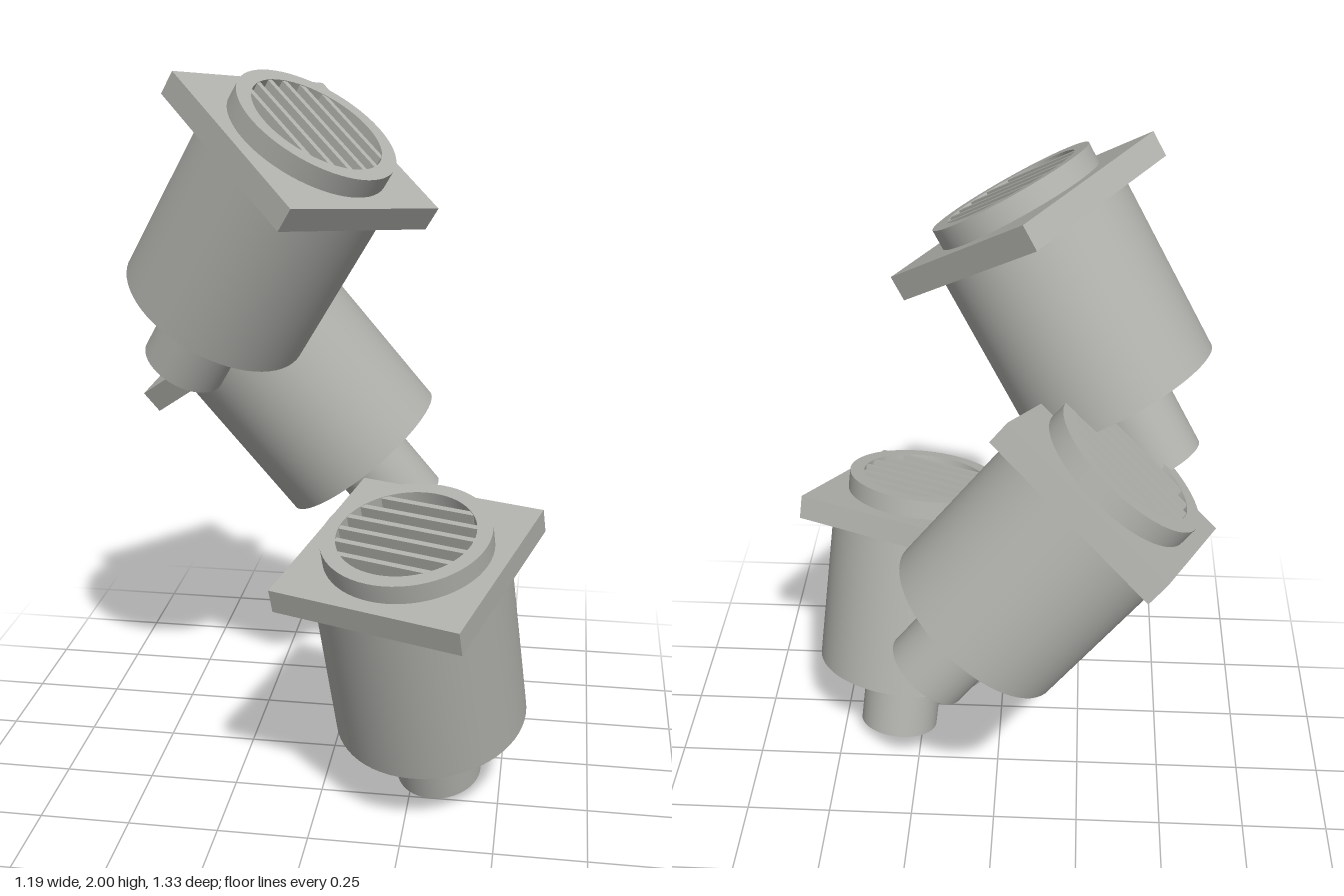
import * as THREE from 'three';
import { toCreasedNormals } from 'three/addons/utils/BufferGeometryUtils.js';

const paleGrey = new THREE.MeshStandardMaterial({ color: 0xb0b0ac });
const darkGrey = new THREE.MeshStandardMaterial({ color: 0x313131 });

// Heights along the drain axis, and radii
const BODY_Y = 0.222, PLATE_Y = 0.715, RING_Y = 0.785, TOP_Y = 0.84;
const PIPE_R = 0.12, BORE_R = 0.107, BODY_R = 0.268, RING_R = 0.229, GRATE_R = 0.187;
const PLATE_SIZE = 0.545;

function lathe(points) {
  const profile = points.map(([r, y]) => new THREE.Vector2(r, y));
  return toCreasedNormals(new THREE.LatheGeometry(profile, 64), 0.6);
}

function addMesh(group, name, geometry, material, y = 0) {
  const mesh = new THREE.Mesh(geometry, material);
  mesh.name = name;
  mesh.position.y = y;
  group.add(mesh);
  return mesh;
}

// One floor drain standing on its outlet, grate bars along x
function createDrain() {
  const drain = new THREE.Group();

  // Hollow outlet pipe
  addMesh(drain, 'outletPipe', lathe([
    [0, BODY_Y + 0.02], [BORE_R, BODY_Y + 0.02], [BORE_R, 0],
    [PIPE_R, 0], [PIPE_R, BODY_Y],
  ]), paleGrey);

  // Cylindrical trap body
  addMesh(drain, 'trapBody', lathe([
    [PIPE_R, BODY_Y], [BODY_R, BODY_Y], [BODY_R, PLATE_Y],
  ]), paleGrey);

  // Square floor plate
  const thickness = RING_Y - PLATE_Y;
  addMesh(drain, 'floorPlate', new THREE.BoxGeometry(PLATE_SIZE, thickness, PLATE_SIZE),
    paleGrey, PLATE_Y + thickness / 2);

  // Raised ring around the grate
  addMesh(drain, 'grateRing', lathe([
    [RING_R, RING_Y], [RING_R, TOP_Y], [GRATE_R, TOP_Y], [GRATE_R, RING_Y],
  ]), paleGrey);

  // Dark opening beneath the bars
  addMesh(drain, 'grateOpening', new THREE.CircleGeometry(GRATE_R, 64).rotateX(-Math.PI / 2),
    darkGrey, RING_Y + 0.004);

  // Parallel grate bars, cut to the chord of the opening
  const bars = 6, pitch = (2 * GRATE_R) / (bars + 1);
  const depth = TOP_Y - RING_Y - 0.006;
  for (let i = 0; i < bars; i++) {
    const z = (i - (bars - 1) / 2) * pitch;
    const length = 2 * Math.sqrt(GRATE_R ** 2 - z * z) + 0.01;
    addMesh(drain, 'grateBar', new THREE.BoxGeometry(length, depth, 0.016),
      paleGrey, RING_Y + 0.004 + depth / 2).position.z = z;
  }
  return drain;
}

export function createModel() {
  const model = new THREE.Group();
  model.name = 'floorDrains';

  // Outlet centre, axis towards the grate, and bar direction
  const placements = [
    { name: 'upperDrain', at: [-0.44, 1.165, -0.048], axis: [0.495, 0.84, 0.2225], bar: [0.36, -0.293, 0.304] },
    { name: 'middleDrain', at: [0.174, 0.662, -0.352], axis: [-0.63, 0.773, 0.07], bar: [0.384, 0.292, 0.227] },
    { name: 'lowerDrain', at: [0.325, 0.033, 0.138], axis: [-0.103, 0.965, 0.241], bar: [0.5, 0.006, 0.19] },
  ];
  for (const { name, at, axis, bar } of placements) {
    const y = new THREE.Vector3(...axis).normalize();
    const z = new THREE.Vector3(...bar).cross(y).normalize();
    const x = new THREE.Vector3().crossVectors(y, z);
    const drain = createDrain();
    drain.name = name;
    drain.quaternion.setFromRotationMatrix(new THREE.Matrix4().makeBasis(x, y, z));
    drain.position.set(...at);
    model.add(drain);
  }
  return model;
}
